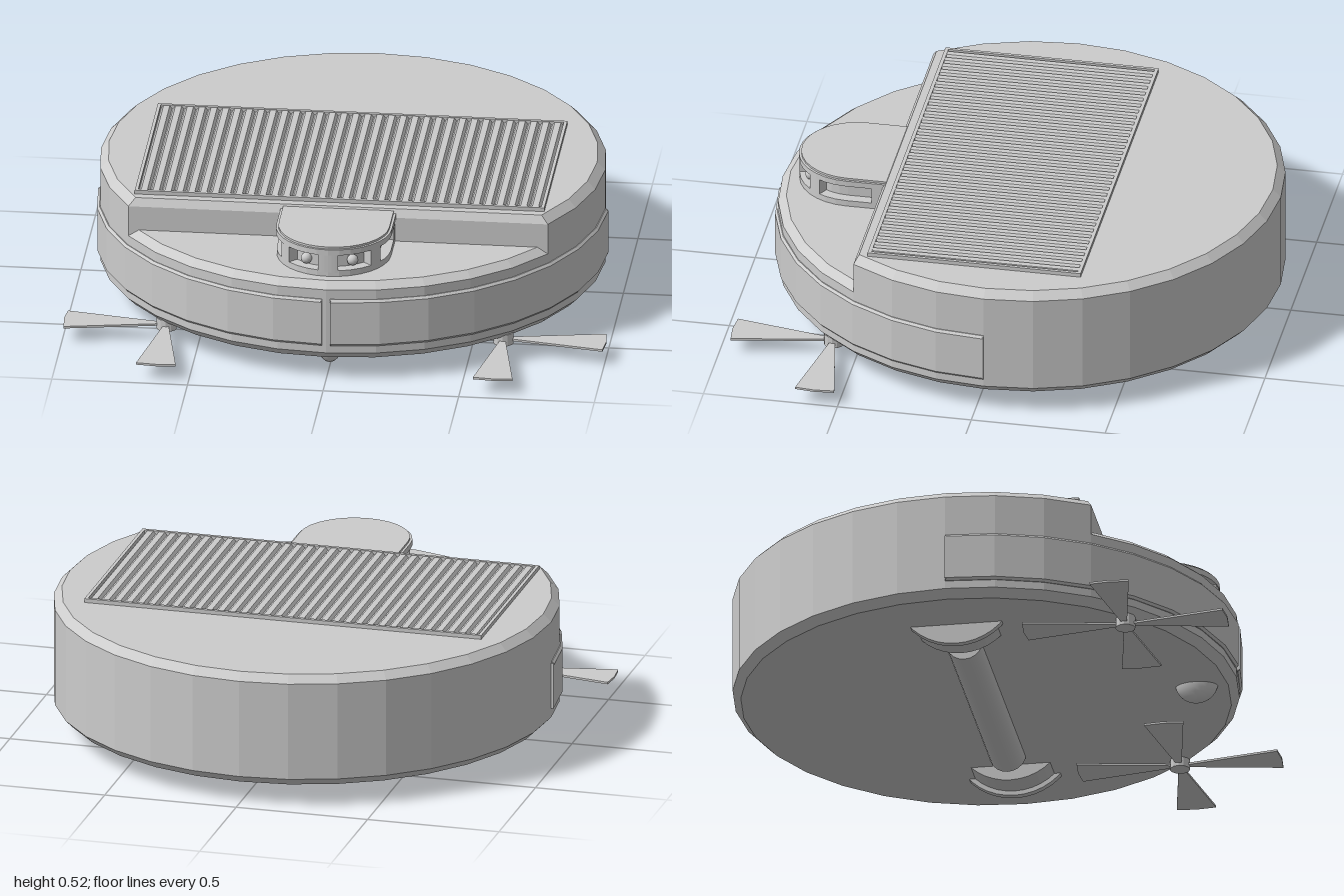
import * as THREE from 'three';
import { ConvexGeometry } from 'three/addons/geometries/ConvexGeometry.js';

const CZ = -0.033;            // centre of the round body
const STEP = Math.PI / 16;    // body has 32 sides

export function createModel() {
  const root = new THREE.Group();
  const grey = new THREE.MeshStandardMaterial({ color: 0xcccccc });
  grey.name = 'light grey';

  const add = (name, geo, x = 0, y = 0, z = 0, flat = false, parent = root) => {
    if (flat) {
      if (geo.index) geo = geo.toNonIndexed();
      geo.computeVertexNormals();
    }
    const m = new THREE.Mesh(geo, grey);
    m.name = name;
    m.position.set(x, y, z);
    parent.add(m);
    return m;
  };

  // Convex solid from [radius, y] rings, using body corners k0..k1
  const ringSolid = (rings, k0, k1) => {
    const pts = [];
    for (const [r, y] of rings)
      for (let k = k0; k <= k1; k++)
        pts.push(new THREE.Vector3(r * Math.sin(k * STEP), y, r * Math.cos(k * STEP)));
    return new ConvexGeometry(pts);
  };

  // Extrude a plan shape (x, z) between two heights
  const slab = (shape, y0, y1, curveSegments = 8) =>
    new THREE.ExtrudeGeometry(shape, { depth: y1 - y0, bevelEnabled: false, curveSegments })
      .rotateX(Math.PI / 2).translate(0, y1, 0);

  // Round lower body and the upper body cut off behind the front deck
  add('lowerBody', ringSolid([[0.9, 0.078], [0.93, 0.108], [0.93, 0.36], [0.9, 0.385]], 0, 31), 0, 0, CZ);
  add('upperBody', ringSolid([[0.93, 0.36], [0.93, 0.478], [0.9, 0.507]], 5, 27), 0, 0, CZ);

  // Two curved bumper panels with closed ends
  const bumperProfile = [[0.91, 0.138], [0.933, 0.138], [0.941, 0.147], [0.941, 0.314], [0.933, 0.323], [0.91, 0.323]]
    .map(([r, y]) => new THREE.Vector2(r, y));
  for (const s of [1, -1]) {
    const gap = 0.016;
    const start = s > 0 ? gap : -Math.PI / 2;
    const name = s > 0 ? 'leftBumper' : 'rightBumper';
    add(name, new THREE.LatheGeometry(bumperProfile, 8, start, Math.PI / 2 - gap), 0, 0, CZ, true);
    add(name + 'FrontEnd', new THREE.BoxGeometry(0.004, 0.176, 0.02), s * 0.017, 0.2305, CZ + 0.929);
    add(name + 'RearEnd', new THREE.BoxGeometry(0.02, 0.176, 0.004), s * 0.929, 0.2305, CZ + 0.002);
  }

  // Ribbed panel on top: one grooved profile extruded front to back
  const ribs = 34, half = 0.743, pitch = 2 * half / ribs;
  const rib = new THREE.Shape();
  rib.moveTo(-half, 0.5);
  rib.lineTo(half, 0.5);
  for (let i = ribs - 1; i >= 0; i--) {
    const x = -half + i * pitch;
    rib.lineTo(x + pitch * 0.95, 0.509);
    rib.lineTo(x + pitch * 0.76, 0.52);
    rib.lineTo(x + pitch * 0.24, 0.52);
    rib.lineTo(x + pitch * 0.05, 0.509);
  }
  add('ribbedPanel', new THREE.ExtrudeGeometry(rib, { depth: 0.77, bevelEnabled: false }), 0, 0, -0.348);
  for (const s of [1, -1]) {
    add('panelSideEdge', new THREE.BoxGeometry(0.012, 0.022, 0.796), s * 0.749, 0.511, 0.037);
    add('panelEndEdge', new THREE.BoxGeometry(1.486, 0.022, 0.013), 0, 0.511, 0.037 + s * 0.3915);
  }

  // Sensor turret on the front deck
  const turret = new THREE.Group();
  turret.name = 'sensorTurret';
  root.add(turret);
  const TZ = 0.62;
  const uShape = (r) => {
    const s = new THREE.Shape();
    s.moveTo(r, 0.45);
    s.lineTo(r, TZ);
    s.absarc(0, TZ, r, 0, Math.PI, false);
    s.lineTo(-r, 0.45);
    return s;
  };
  add('turretCore', slab(uShape(0.17), 0.38, 0.49), 0, 0, 0, true, turret);
  add('turretBase', slab(uShape(0.21), 0.38, 0.408), 0, 0, 0, true, turret);
  add('turretCap', slab(uShape(0.213), 0.47, 0.492), 0, 0, 0, true, turret);
  add('turretLid', slab(uShape(0.204), 0.492, 0.5), 0, 0, 0, true, turret);
  // Pillars between the window slots (degrees from the front)
  for (const [a, b] of [[-10, 10], [46, 60], [-60, -46]]) {
    const p = new THREE.Shape();
    const a0 = THREE.MathUtils.degToRad(90 - b), a1 = THREE.MathUtils.degToRad(90 - a);
    p.absarc(0, TZ, 0.21, a0, a1, false);
    p.absarc(0, TZ, 0.165, a1, a0, true);
    add('turretPillar', slab(p, 0.4, 0.475, 3), 0, 0, 0, true, turret);
  }
  for (const s of [1, -1]) {
    add('turretRearPost', new THREE.BoxGeometry(0.045, 0.075, 0.07), s * 0.1875, 0.4375, 0.49, false, turret);
    add('turretSensor', new THREE.SphereGeometry(0.021, 12, 8), s * 0.085, 0.432, 0.775, false, turret);
  }

  // Underside: drive wheels with an outer flange, roller and front caster
  const axle = (r, w, n) => new THREE.CylinderGeometry(r, r, w, n).rotateZ(Math.PI / 2);
  for (const s of [1, -1]) {
    add('driveWheelFlange', axle(0.227, 0.026, 40), s * 0.668, 0.228, CZ, true);
    add('driveWheel', axle(0.21, 0.1, 40), s * 0.607, 0.228, CZ, true);
  }
  add('roller', axle(0.068, 0.99, 20), 0, 0.09, CZ);
  add('casterWheel', new THREE.SphereGeometry(0.08, 20, 14).scale(0.62, 1, 1), 0, 0.095, 0.75);

  // Four-bladed side brushes
  const blade = new THREE.Shape();
  blade.moveTo(0.02, -0.009);
  blade.lineTo(0.372, -0.073);
  blade.lineTo(0.379, 0);
  blade.lineTo(0.372, 0.073);
  blade.lineTo(0.02, 0.009);
  for (const s of [1, -1]) {
    const brush = new THREE.Group();
    brush.name = s > 0 ? 'leftSideBrush' : 'rightSideBrush';
    brush.position.set(s * 0.621, 0, 0.586);
    root.add(brush);
    add('brushHub', new THREE.CylinderGeometry(0.037, 0.037, 0.045, 12), 0, 0.065, 0, true, brush);
    for (let i = 0; i < 4; i++)
      add('brushBlade', slab(blade, 0.055, 0.063), 0, 0, 0, false, brush).rotation.y = i * Math.PI / 2;
  }
  return root;
}
